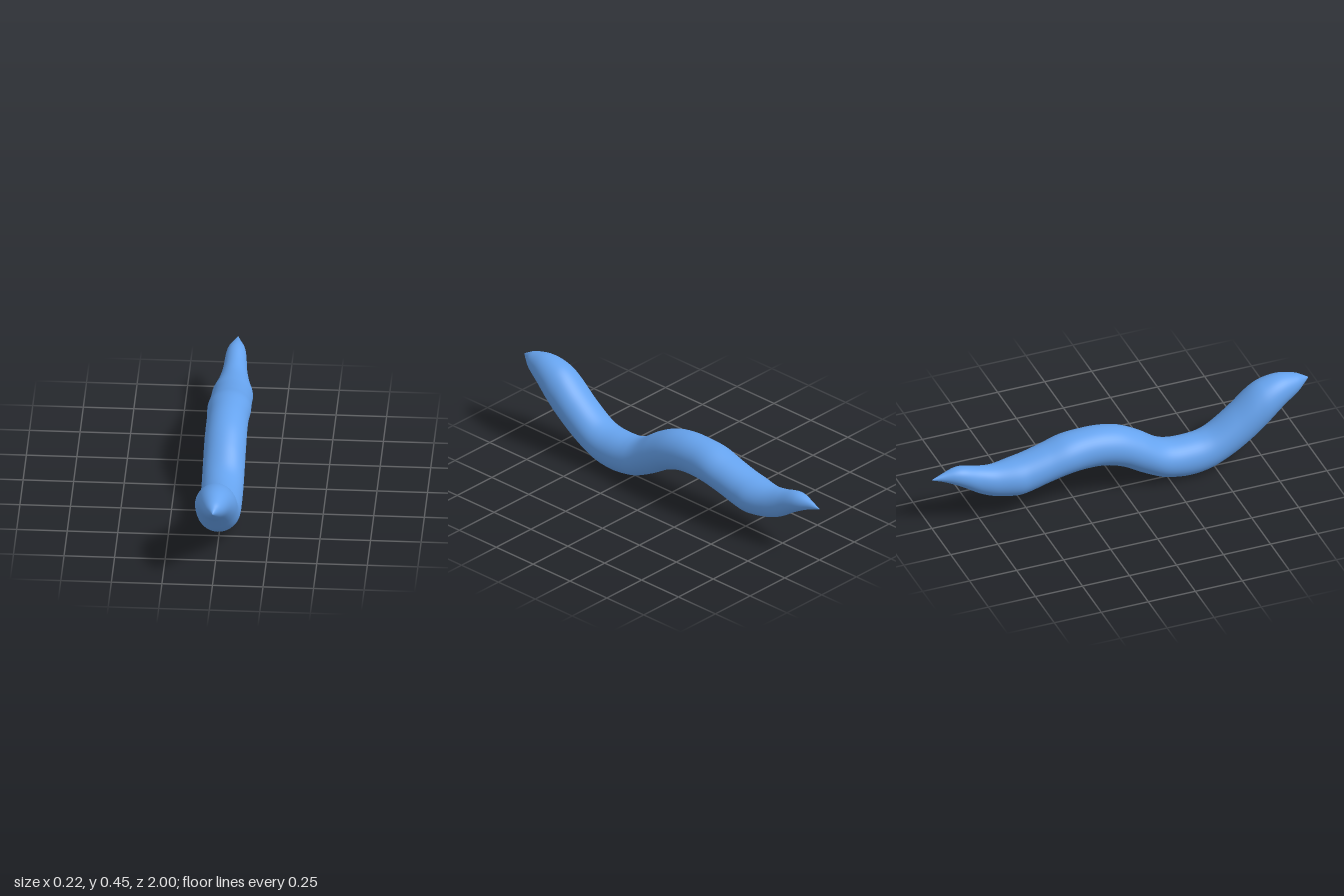
import * as THREE from 'three';

// Body stations from head tip to tail tip: z, top y, bottom y, half width
const STATIONS = [
  [1, 0.405, 0.4, 0.001], [0.97, 0.423, 0.372, 0.024], [0.93, 0.441, 0.338, 0.05],
  [0.85, 0.455, 0.283, 0.08], [0.77, 0.443, 0.213, 0.1], [0.7, 0.41, 0.15, 0.104],
  [0.6, 0.323, 0.081, 0.104], [0.5, 0.247, 0.031, 0.104], [0.43, 0.216, 0.01, 0.104],
  [0.35, 0.208, 0.002, 0.104], [0.27, 0.212, 0.011, 0.104], [0.2, 0.236, 0.029, 0.104],
  [0.1, 0.305, 0.079, 0.104], [0, 0.355, 0.138, 0.104], [-0.1, 0.377, 0.171, 0.103],
  [-0.2, 0.38, 0.177, 0.103], [-0.3, 0.37, 0.169, 0.108], [-0.4, 0.341, 0.145, 0.104],
  [-0.5, 0.315, 0.117, 0.102], [-0.57, 0.302, 0.11, 0.1], [-0.67, 0.293, 0.125, 0.077],
  [-0.75, 0.305, 0.156, 0.061], [-0.83, 0.326, 0.208, 0.052], [-0.88, 0.327, 0.237, 0.042],
  [-0.94, 0.311, 0.266, 0.02], [-1, 0.29, 0.287, 0.001],
];

const smooth = (pick) => new THREE.CatmullRomCurve3(
  STATIONS.map((s) => new THREE.Vector3(...pick(s))), false, 'catmullrom', 0.5);

// Lofts smooth elliptical rings along the wavy body
function bodyGeometry(rings = 220, sides = 48) {
  const outline = smooth(([z, top, bottom]) => [top, bottom, z]);
  const width = smooth(([z, , , w]) => [w, 0, z]);
  const positions = [];
  const index = [];
  for (let i = 0; i <= rings; i++) {
    const { x: top, y: bottom, z } = outline.getPoint(i / rings);
    const w = width.getPoint(i / rings).x;
    for (let j = 0; j < sides; j++) {
      const a = (j / sides) * Math.PI * 2;
      positions.push(w * Math.cos(a), (top + bottom) / 2 + ((top - bottom) / 2) * Math.sin(a), z);
      if (i === rings) continue;
      const k = (j + 1) % sides;
      const p = i * sides + j, q = i * sides + k;
      index.push(p, q + sides, q, p, p + sides, q + sides);
    }
  }
  // Close both tips
  const last = rings * sides;
  for (let j = 1; j < sides - 1; j++) {
    index.push(0, j, j + 1, last, last + j + 1, last + j);
  }
  const geometry = new THREE.BufferGeometry();
  geometry.setAttribute('position', new THREE.Float32BufferAttribute(positions, 3));
  geometry.setIndex(index);
  geometry.computeVertexNormals();
  return geometry;
}

export function createModel() {
  const group = new THREE.Group();
  group.name = 'worm';
  const body = new THREE.Mesh(bodyGeometry(), new THREE.MeshStandardMaterial({ color: 0x66a3ee }));
  body.name = 'body';
  group.add(body);
  return group;
}
